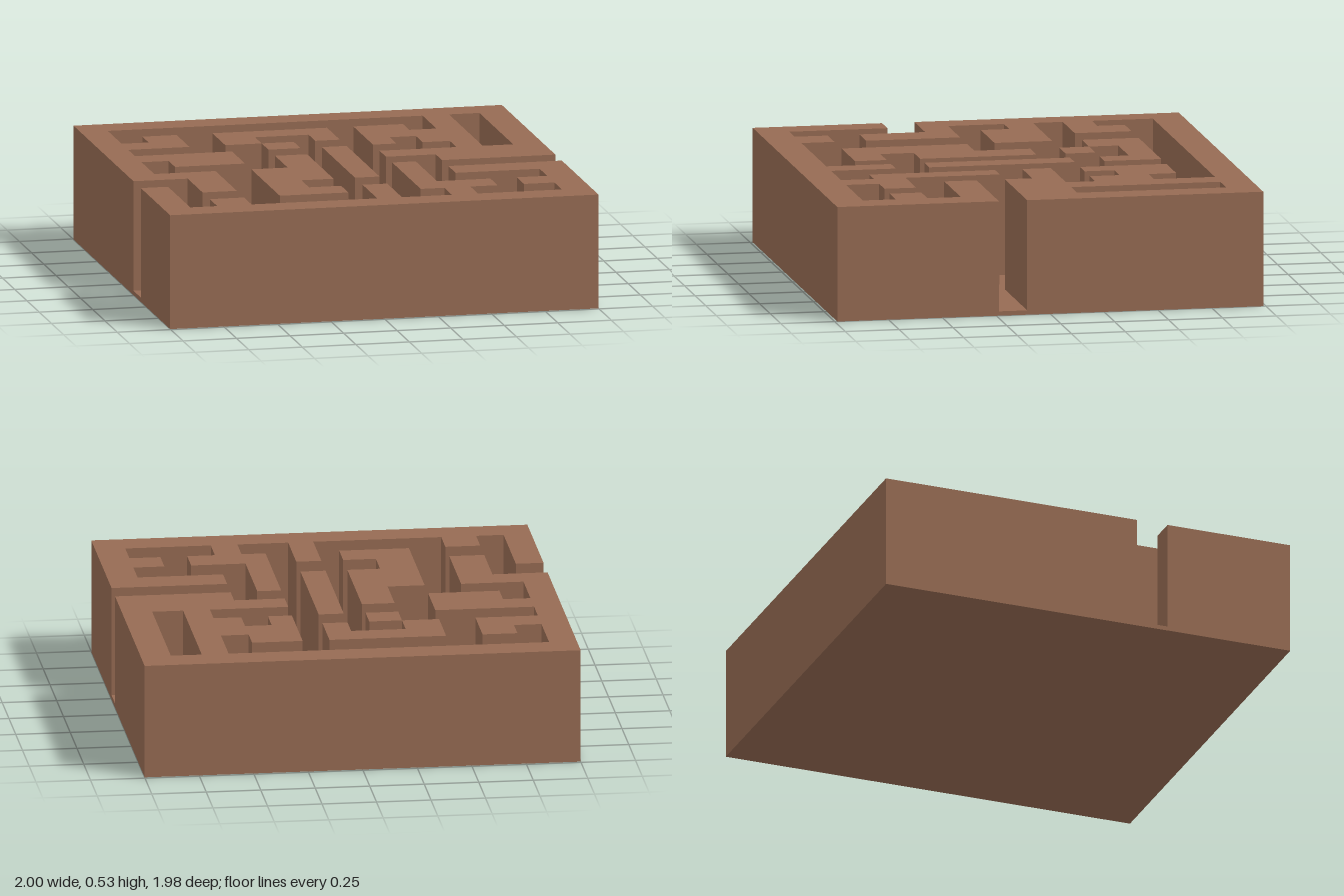
import * as THREE from 'three';

// Maze plan seen from above: back row first, # is wall, . is passage
const PLAN = [
  '###############',
  '#...........#.#',
  '#.#.####.##.#.#',
  '###.#..#.####.#',
  '#....#...#.##.#',
  '####...#....#.#',
  '#.##.#.#.######',
  '#....#.#...####',
  '###.##.#.#.....',
  '..#.##.#.#.####',
  '#.#.#....#....#',
  '#...##.#.###.##',
  '#.#....#..#...#',
  '###############',
];
// Grid lines between the columns (x) and rows (z)
const X = [-1, -0.873, -0.747, -0.587, -0.42, -0.25, -0.1, 0, 0.115, 0.238, 0.348, 0.47, 0.597, 0.72, 0.862, 1];
const Z = [-0.988, -0.843, -0.688, -0.56, -0.425, -0.287, -0.152, -0.02, 0.107, 0.238, 0.388, 0.543, 0.69, 0.843, 0.988];
const FLOOR = 0.02, TOP = 0.53;

const isWall = (r, c) => PLAN[r]?.[c] === '#';

// Tops of all wall cells plus only those sides that border a passage or the outside
function wallGeometry() {
  const pos = [];
  const quad = (a, b, c, d) => pos.push(...a, ...b, ...c, ...a, ...c, ...d);
  // Upright face running from (x0, z0) to (x1, z1), its front to the right of that direction's reverse
  const side = (x0, z0, x1, z1) =>
    quad([x0, FLOOR, z0], [x1, FLOOR, z1], [x1, TOP, z1], [x0, TOP, z0]);

  PLAN.forEach((row, r) => [...row].forEach((cell, c) => {
    if (cell !== '#') return;
    const [l, t] = [X[c], X[c + 1]], [b, f] = [Z[r], Z[r + 1]];
    quad([l, TOP, f], [t, TOP, f], [t, TOP, b], [l, TOP, b]);
    if (!isWall(r + 1, c)) side(l, f, t, f);
    if (!isWall(r - 1, c)) side(t, b, l, b);
    if (!isWall(r, c + 1)) side(t, f, t, b);
    if (!isWall(r, c - 1)) side(l, b, l, f);
  }));

  const geo = new THREE.BufferGeometry();
  geo.setAttribute('position', new THREE.Float32BufferAttribute(pos, 3));
  geo.computeVertexNormals();
  return geo;
}

export function createModel() {
  const model = new THREE.Group();
  model.name = 'maze';
  const brown = new THREE.MeshStandardMaterial({ name: 'clay brown', color: 0x966b53 });

  // Thin floor slab under the whole maze
  const floor = new THREE.Mesh(new THREE.BoxGeometry(2, FLOOR, 1.976), brown);
  floor.name = 'mazeFloor';
  floor.position.y = FLOOR / 2;

  // Outer and inner walls
  const walls = new THREE.Mesh(wallGeometry(), brown);
  walls.name = 'mazeWalls';

  model.add(floor, walls);
  return model;
}
